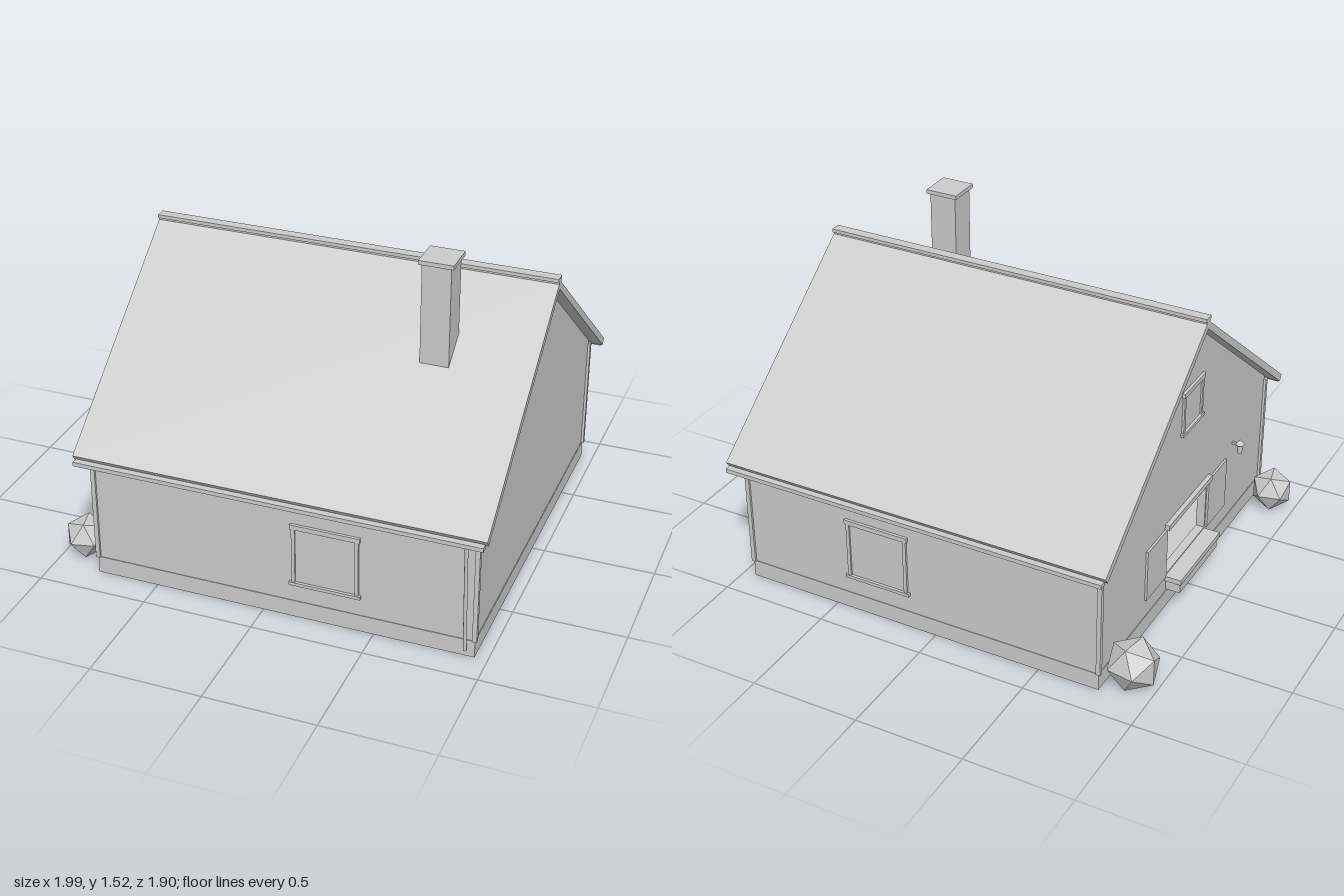
import * as THREE from 'three';

const grey = new THREE.MeshStandardMaterial({ color: 0xcccccc });
grey.name = 'plainGrey';

// house footprint and roof line
const X0 = -0.783, X1 = 0.943, Z = 0.862, T = 0.04;
const PLINTH = 0.08, EAVE = 0.632, APEX = 1.303;

function add(parent, name, geometry) {
  const m = new THREE.Mesh(geometry, grey);
  m.name = name;
  parent.add(m);
  return m;
}

// box from its minimum and maximum on each axis
function box(parent, name, x0, x1, y0, y1, z0, z1) {
  const g = new THREE.BoxGeometry(x1 - x0, y1 - y0, z1 - z0);
  g.translate((x0 + x1) / 2, (y0 + y1) / 2, (z0 + z1) / 2);
  return add(parent, name, g);
}

function polygon(points) {
  return new THREE.Shape(points.map(([x, y]) => new THREE.Vector2(x, y)));
}

// extrude a z-y outline along x
function alongX(shape, x0, x1) {
  const g = new THREE.ExtrudeGeometry(shape, { depth: x1 - x0, bevelEnabled: false });
  return g.rotateY(Math.PI / 2).translate(x0, 0, 0);
}

// framed window facing local +z; w and h are the clear opening
function makeWindow(name, w, h) {
  const g = new THREE.Group();
  g.name = name;
  const a = w / 2, f = 0.016;
  box(g, 'pane', -a, a, 0, h, -0.004, 0.002);
  for (const s of [-1, 1]) {
    const c = s * (a + f / 2);
    box(g, 'jamb', c - f / 2, c + f / 2, 0, h, -0.004, 0.01);
  }
  box(g, 'windowHead', -a - f - 0.006, a + f + 0.006, h, h + 0.022, -0.004, 0.013);
  box(g, 'windowSill', -a - f - 0.01, a + f + 0.01, -0.015, 0, -0.004, 0.015);
  return g;
}

export function createModel() {
  const house = new THREE.Group();
  house.name = 'house';

  // open plinth ring with the floor set inside it
  const ring = polygon([[X0, -Z], [X1, -Z], [X1, Z], [X0, Z]]);
  const i = 0.03;
  ring.holes.push(polygon([[X0 + i, -Z + i], [X0 + i, Z - i], [X1 - i, Z - i], [X1 - i, -Z + i]]));
  const plinth = new THREE.ExtrudeGeometry(ring, { depth: PLINTH, bevelEnabled: false });
  add(house, 'plinth', plinth.rotateX(-Math.PI / 2));
  box(house, 'floor', X0 + 0.02, X1 - 0.02, 0.06, 0.075, -Z + 0.02, Z - 0.02);

  // walls, set back a touch from the plinth
  const e = 0.003, zw = Z - e;
  for (const s of [-1, 1]) {
    const c = s * (zw - T / 2);
    box(house, 'longWall', X0 + e + T, X1 - e - T, PLINTH, EAVE, c - T / 2, c + T / 2);
  }
  const gable = () => polygon([[-zw, PLINTH], [zw, PLINTH], [zw, EAVE], [0, APEX], [-zw, EAVE]]);
  add(house, 'plainGable', alongX(gable(), X1 - e - T, X1 - e));
  const openGable = gable();
  openGable.holes.push(polygon([[-0.21, 0.17], [-0.21, 0.42], [0.21, 0.42], [0.21, 0.17]]));
  add(house, 'windowGable', alongX(openGable, X0 + e, X0 + e + T));

  // corner boards
  for (const x of [X0, X1]) for (const z of [-Z, Z]) {
    const cx = x - Math.sign(x) * 0.001, cz = z - Math.sign(z) * 0.003;
    box(house, 'cornerBoard', cx - 0.01, cx + 0.01, PLINTH, 0.62, cz - 0.01, cz + 0.01);
  }

  // roof, ridge cap and gutters
  const R0 = -0.837, R1 = 0.997;
  const roof = polygon([[0.912, 0.592], [0.93, 0.62], [0, 1.343], [-0.93, 0.62], [-0.912, 0.592], [0, APEX]]);
  add(house, 'roof', alongX(roof, R0, R1));
  box(house, 'ridgeCap', R0, R1, 1.342, 1.358, -0.024, 0.024);
  box(house, 'ridgeBase', R0, R1, 1.325, 1.342, -0.015, 0.015);
  for (const s of [-1, 1]) {
    const c = s * 0.935;
    box(house, 'gutter', R0 + 0.01, R1 - 0.011, 0.583, 0.602, c - 0.015, c + 0.015);
  }

  // chimney
  box(house, 'chimney', 0.514, 0.641, 0.98, 1.505, 0.247, 0.375);
  box(house, 'chimneyCap', 0.502, 0.654, 1.503, 1.522, 0.234, 0.387);

  // leaning downpipe at the front corner
  const top = new THREE.Vector3(0.904, 0.59, 0.907), foot = new THREE.Vector3(0.904, 0.037, 0.876);
  add(house, 'downpipe', new THREE.TubeGeometry(new THREE.LineCurve3(foot, top), 1, 0.008, 8));

  // matching windows on the long walls
  for (const s of [-1, 1]) {
    const w = makeWindow(s > 0 ? 'frontWindow' : 'backWindow', 0.267, 0.263);
    w.position.set(0.283, 0.18, s * zw);
    if (s < 0) w.rotation.y = Math.PI;
    house.add(w);
  }

  // attic window
  const attic = makeWindow('atticWindow', 0.17, 0.175);
  attic.position.set(X0 + e, 0.835, 0);
  attic.rotation.y = -Math.PI / 2;
  house.add(attic);

  // wide gable window: head, shutters and planter
  box(house, 'wideWindowHead', X0 - 0.018, X0 + 0.01, 0.42, 0.445, -0.23, 0.23);
  for (const s of [-1, 1]) {
    box(house, 'shutter', X0 - 0.007, X0 + 0.005, 0.17, 0.42, s * 0.32 - 0.1, s * 0.32 + 0.1);
  }
  box(house, 'planter', X0 - 0.066, X0 + 0.005, 0.09, 0.14, -0.2, 0.2);
  box(house, 'planterRim', X0 - 0.074, X0 + 0.005, 0.14, 0.165, -0.212, 0.212);

  // wall lantern
  const lantern = new THREE.Group();
  lantern.name = 'lantern';
  box(lantern, 'lanternArm', 0, 0.04, 0.035, 0.047, -0.006, 0.006);
  add(lantern, 'lanternBody', new THREE.CylinderGeometry(0.014, 0.012, 0.045, 8).translate(0, 0.022, 0));
  add(lantern, 'lanternCap', new THREE.ConeGeometry(0.021, 0.026, 8).translate(0, 0.057, 0));
  lantern.position.set(-0.817, 0.42, 0.5);
  house.add(lantern);

  // faceted shrubs
  for (const [x, y, z, r, turn] of [[-0.895, 0.112, -0.765, 0.12, 1.4], [-0.893, 0.1, 0.755, 0.1, 1.8]]) {
    const shrub = add(house, 'shrub', new THREE.IcosahedronGeometry(r, 0));
    shrub.position.set(x, y, z);
    shrub.rotation.y = turn;
  }
  return house;
}
